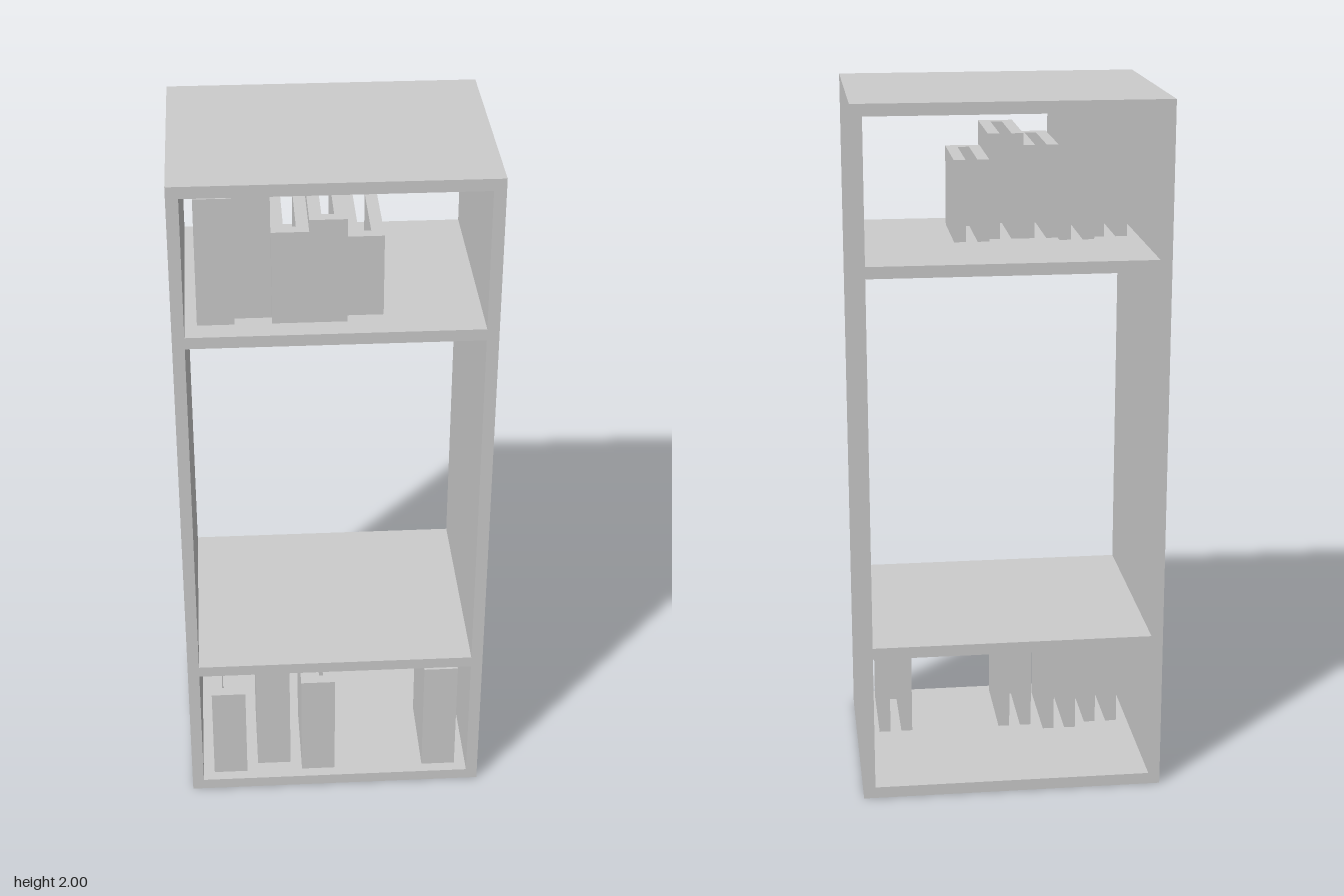
import * as THREE from 'three';

// All sizes are whole multiples of one board thickness.
const U = 1 / 30;
const W = 26, H = 60, D = 20;
const material = new THREE.MeshStandardMaterial({ color: 0xcccccc });

function polygon(points, Type = THREE.Shape) {
  return new Type(points.map(([x, y]) => new THREE.Vector2(x * U, y * U)));
}

const rect = (x0, y0, x1, y1) => [[x0, y0], [x1, y0], [x1, y1], [x0, y1]];

function extrude(shape, depth) {
  return new THREE.ExtrudeGeometry(shape, { depth: depth * U, bevelEnabled: false });
}

// Cabinet: one frame, open front and back, with three compartments
function createCabinet() {
  const frame = polygon(rect(-W / 2, 0, W / 2, H));
  for (const [bottom, top] of [[1, 13], [14, 46], [47, 59]]) {
    frame.holes.push(polygon(rect(1 - W / 2, bottom, W / 2 - 1, top), THREE.Path));
  }
  const geometry = extrude(frame, D);
  geometry.translate(0, 0, -D * U / 2);
  const mesh = new THREE.Mesh(geometry, material);
  mesh.name = 'cabinetFrame';
  return mesh;
}

// Binder: a spine at the front and two covers running back, open between them
function createBinder(x, base, height, setback) {
  const plan = polygon([[0, 0], [3, 0], [3, 8], [2, 8], [2, 1], [1, 1], [1, 8], [0, 8]]);
  const geometry = extrude(plan, height);
  geometry.rotateX(-Math.PI / 2);
  const mesh = new THREE.Mesh(geometry, material);
  mesh.position.set(x * U, base * U, (D / 2 - setback) * U);
  return mesh;
}

// Each row: shelf height, then [left edge, height, setback] per binder
const rows = {
  lowerBinder: [1, [[-11, 9, 1], [-7, 11, 2], [-3, 10, 1], [8, 11, 1]]],
  upperBinder: [47, [[-11, 11, 2], [-8, 11, 3], [-5, 8, 2], [-2, 9, 2], [1, 7, 3]]],
};

export function createModel() {
  const model = new THREE.Group();
  model.name = 'bookcase';
  model.add(createCabinet());
  for (const [name, [base, binders]] of Object.entries(rows)) {
    binders.forEach(([x, height, setback], i) => {
      const binder = createBinder(x, base, height, setback);
      binder.name = `${name}${i + 1}`;
      model.add(binder);
    });
  }
  return model;
}
